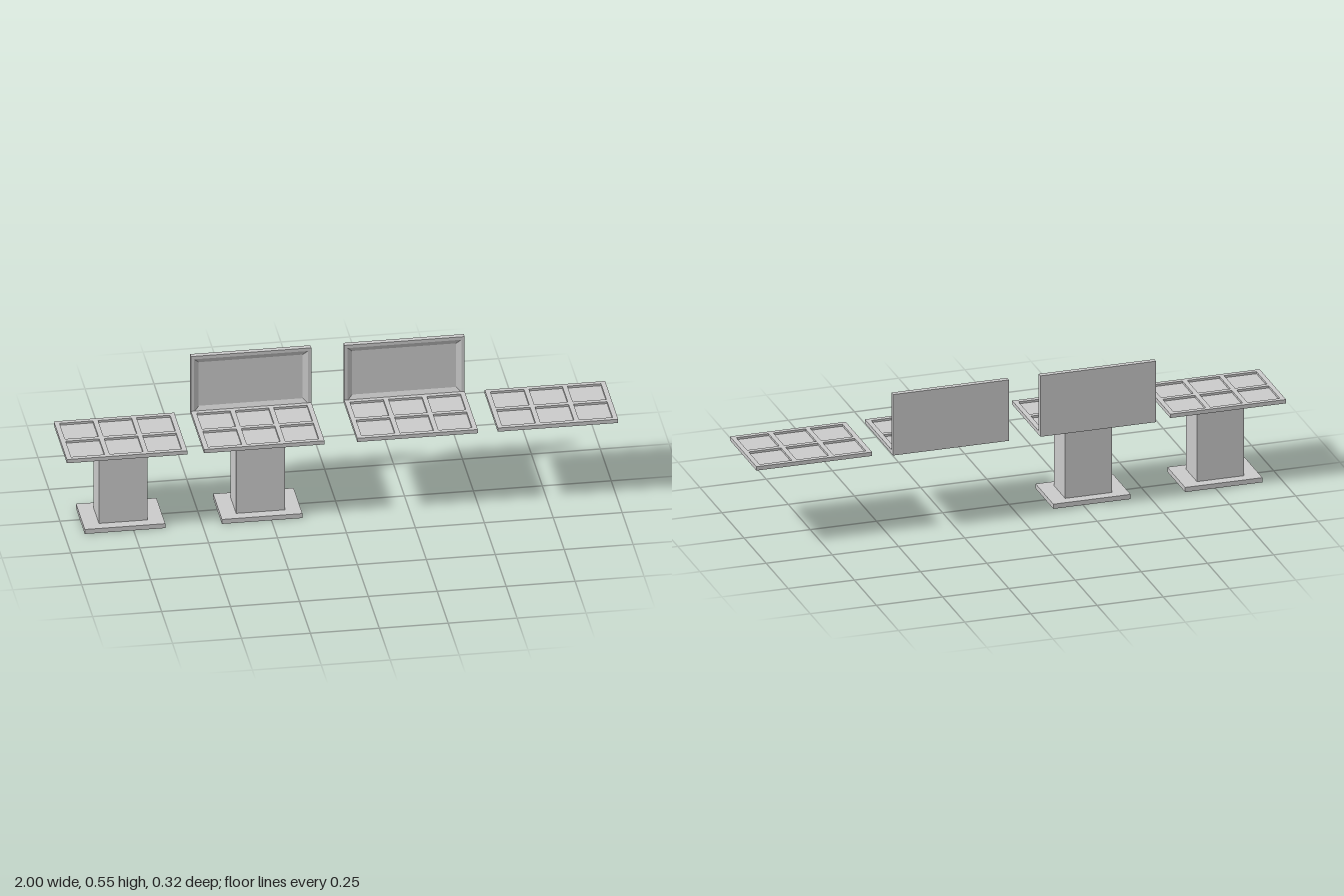
import * as THREE from 'three';

const mat = new THREE.MeshStandardMaterial({ color: 0xcccccc, flatShading: true });
const W = 0.437;                       // seat width
const Y0 = 0.316, Y1 = 0.331;          // seat underside and top
const ZB = -0.14, ZF = 0.16;           // seat rear and front edges
const DEPTH = 0.008;                   // depth of the seat pockets

function add(group, geometry, name, x = 0, y = 0, z = 0) {
  const mesh = new THREE.Mesh(geometry, mat);
  mesh.name = name;
  mesh.position.set(x, y, z);
  group.add(mesh);
  return mesh;
}

function rect(Type, cx, cy, w, h) {
  const p = new Type();
  p.moveTo(cx - w / 2, cy - h / 2);
  p.lineTo(cx + w / 2, cy - h / 2);
  p.lineTo(cx + w / 2, cy + h / 2);
  p.lineTo(cx - w / 2, cy + h / 2);
  p.closePath();
  return p;
}

// Seat: solid slab with a 3 x 2 lattice on top that forms square pockets
function addSeat(group) {
  const d = ZF - ZB, zc = (ZF + ZB) / 2, border = 0.018, rib = 0.018;
  const pw = (W - 2 * border - 2 * rib) / 3, pd = (d - 2 * border - rib) / 2;
  const slabH = Y1 - Y0 - DEPTH;
  add(group, new THREE.BoxGeometry(W, slabH, d), 'seatSlab', 0, Y0 + slabH / 2, zc);

  const shape = rect(THREE.Shape, 0, 0, W, d);
  for (const i of [-1, 0, 1])
    for (const j of [-0.5, 0.5])
      shape.holes.push(rect(THREE.Path, i * (pw + rib), j * (pd + rib), pw, pd));
  const lattice = new THREE.ExtrudeGeometry(shape, { depth: DEPTH, bevelEnabled: false });
  lattice.rotateX(-Math.PI / 2);
  add(group, lattice, 'seatLattice', 0, Y1 - DEPTH, zc);
}

// Backrest: rectangular rings from rear to front rim, then sloping into a sunken panel
function addBackrest(group) {
  const h = 0.236, t = 0.02;
  const rings = [[0, 0], [0, t], [0.012, t], [0.03, t - 0.01]]; // [inset, z]
  const pos = [], index = [];
  for (const [inset, z] of rings) {
    const a = W / 2 - inset, b = h / 2 - inset;
    pos.push(-a, -b, z, a, -b, z, a, b, z, -a, b, z);
  }
  for (let r = 0; r < rings.length - 1; r++)
    for (let i = 0; i < 4; i++) {
      const a = r * 4 + i, b = r * 4 + (i + 1) % 4;
      index.push(a, b, b + 4, a, b + 4, a + 4);
    }
  const e = (rings.length - 1) * 4;
  index.push(e, e + 1, e + 2, e, e + 2, e + 3, 0, 2, 1, 0, 3, 2);
  let geo = new THREE.BufferGeometry();
  geo.setAttribute('position', new THREE.Float32BufferAttribute(pos, 3));
  geo.setIndex(index);
  geo = geo.toNonIndexed();
  geo.computeVertexNormals();
  add(group, geo, 'backrest', 0, Y0 + h / 2, ZB - t);
}

// Pedestal: square column on a wider foot plate
function addPedestal(group) {
  const foot = 0.018, z = 0.011;
  add(group, new THREE.BoxGeometry(0.292, foot, 0.202), 'footPlate', 0, foot / 2, z);
  add(group, new THREE.BoxGeometry(0.177, Y0 - foot, 0.125), 'column', 0, (Y0 + foot) / 2, z);
}

export function createModel() {
  const model = new THREE.Group();
  model.name = 'seatSet';
  const variants = [
    { name: 'stool', x: -0.7815, pedestal: true },
    { name: 'chair', x: -0.284, pedestal: true, back: true },
    { name: 'seatWithBack', x: 0.272, back: true },
    { name: 'plainSeat', x: 0.7815 },
  ];
  for (const v of variants) {
    const g = new THREE.Group();
    g.name = v.name;
    g.position.x = v.x;
    addSeat(g);
    if (v.back) addBackrest(g);
    if (v.pedestal) addPedestal(g);
    model.add(g);
  }
  return model;
}
